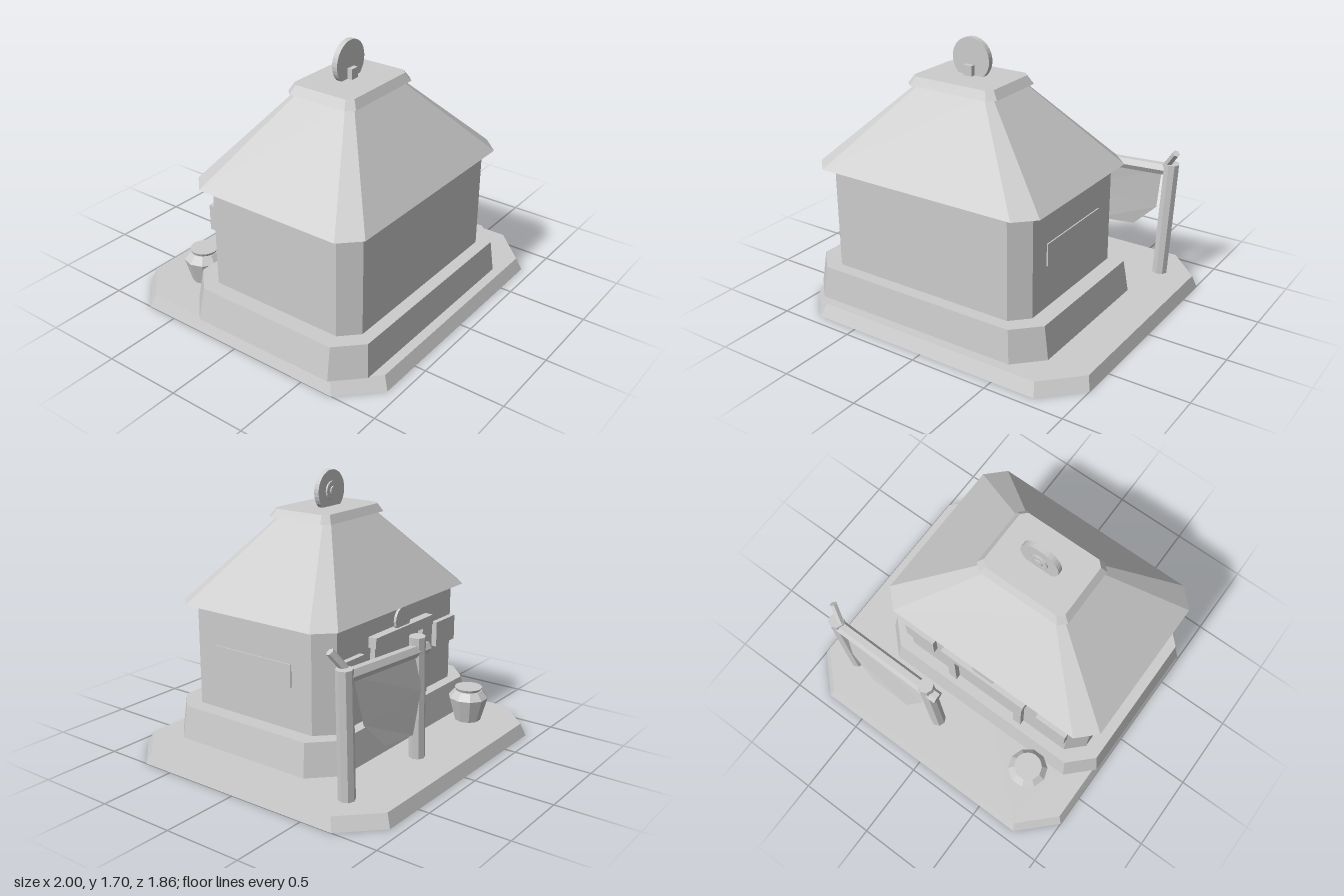
import * as THREE from 'three';

export function createModel() {
  const model = new THREE.Group();
  model.name = 'hut';
  const grey = new THREE.MeshStandardMaterial({ color: 0xcccccc, flatShading: true, side: THREE.DoubleSide });
  grey.name = 'plain grey';

  const add = (name, geometry, x = 0, y = 0, z = 0) => {
    const mesh = new THREE.Mesh(geometry, grey);
    mesh.name = name;
    mesh.position.set(x, y, z);
    model.add(mesh);
    return mesh;
  };

  // Rectangle with cut corners, as points at one height
  const ring = ([y, x0, x1, z0, z1, c]) => [
    [x0 + c, y, z0], [x1 - c, y, z0], [x1, y, z0 + c], [x1, y, z1 - c],
    [x1 - c, y, z1], [x0 + c, y, z1], [x0, y, z1 - c], [x0, y, z0 + c],
  ];

  // Sloped sides and a top between two rings; the underside is optional
  const block = (name, low, high, underside) => {
    const a = ring(low), b = ring(high), points = [];
    for (let i = 0; i < 8; i++) {
      const j = (i + 1) % 8;
      points.push(a[i], b[i], a[j], a[j], b[i], b[j]);
      if (i > 0 && i < 7) {
        points.push(b[0], b[j], b[i]);
        if (underside) points.push(a[0], a[i], a[j]);
      }
    }
    const geometry = new THREE.BufferGeometry();
    geometry.setAttribute('position', new THREE.Float32BufferAttribute(points.flat(), 3));
    geometry.computeVertexNormals();
    return add(name, geometry);
  };

  // Box given by its limits
  const box = (name, x0, x1, y0, y1, z0, z1) =>
    add(name, new THREE.BoxGeometry(x1 - x0, y1 - y0, z1 - z0), (x0 + x1) / 2, (y0 + y1) / 2, (z0 + z1) / 2);

  // Round plate whose axis runs along z
  const disc = (name, x, y, z0, z1, r, sides) =>
    add(name, new THREE.CylinderGeometry(r, r, z1 - z0, sides).rotateX(Math.PI / 2), x, y, (z0 + z1) / 2);

  // Straight pole between two points
  const pole = (name, from, to, r, sides) => {
    const a = new THREE.Vector3(...from), b = new THREE.Vector3(...to);
    const dir = b.clone().sub(a);
    const mesh = add(name, new THREE.CylinderGeometry(r, r, dir.length(), sides));
    mesh.position.copy(a).add(b).multiplyScalar(0.5);
    mesh.quaternion.setFromUnitVectors(new THREE.Vector3(0, 1, 0), dir.normalize());
  };

  // Hollow ground slab, plinth, walls and roof
  block('groundSlab', [0, -1, 1, -0.93, 0.93, 0.222], [0.08, -0.97, 0.975, -0.9, 0.895, 0.216], false);
  block('plinth', [0.08, -0.99, 0.712, -0.447, 0.835, 0.16], [0.285, -0.955, 0.682, -0.418, 0.815, 0.148], false);
  block('walls', [0.28, -0.855, 0.58, -0.348, 0.738, 0.103], [0.926, -0.855, 0.58, -0.348, 0.738, 0.103], false);
  block('roof', [0.925, -0.925, 0.648, -0.4, 0.79, 0.115], [1.43, -0.405, 0.125, -0.01, 0.39, 0.035], true);
  block('roofCap', [1.425, -0.455, 0.178, -0.043, 0.432, 0.045], [1.477, -0.42, 0.142, -0.015, 0.403, 0.035], true);

  // Roof emblem: disc with a raised back boss and a front foot
  disc('roofDisc', -0.138, 1.573, 0.16, 0.195, 0.13, 32);
  disc('roofDiscRing', -0.138, 1.573, 0.149, 0.16, 0.06, 16);
  disc('roofDiscBoss', -0.138, 1.573, 0.14, 0.16, 0.03, 12);
  box('roofDiscFoot', -0.17, -0.112, 1.47, 1.54, 0.19, 0.226);

  // Side panel and doorway on the back wall
  box('sidePanel', 0.575, 0.588, 0.55, 0.69, -0.097, 0.49);
  box('lintel', -0.45, 0.172, 0.735, 0.8, -0.405, -0.34);
  for (const side of [-1, 1]) {
    const px = -0.139 + side * 0.26, wx = -0.139 + side * 0.505;
    box('doorPost', px - 0.03, px + 0.03, 0.28, 0.74, -0.383, -0.34);
    box('wallPlaque', wx - 0.11, wx + 0.11, 0.56, 0.722, -0.383, -0.34);
  }
  disc('doorKnocker', -0.139, 0.565, -0.358, -0.344, 0.052, 16);
  disc('lintelDisc', -0.139, 0.842, -0.387, -0.37, 0.08, 16);

  // Banner frame
  for (const x of [0.065, 0.765]) {
    pole('bannerPost', [x, 0.08, -0.635], [x + 0.035, 0.845, -0.642], 0.05, 8);
  }
  pole('bannerBeam', [0.01, 0.755, -0.645], [0.8, 0.8, -0.645], 0.04, 6);
  pole('beamTwig', [0.75, 0.8, -0.645], [0.85, 0.94, -0.585], 0.024, 6);

  // Hanging cloth, tilting backwards: left x, y, right x, y and depth of each row
  const rows = [
    [0.09, 0.745, 0.73, 0.775, -0.652],
    [0.125, 0.53, 0.69, 0.5, -0.69],
    [0.245, 0.3, 0.52, 0.33, -0.72],
  ];
  const cloth = new THREE.PlaneGeometry(1, 1, 1, rows.length - 1);
  rows.forEach(([x0, y0, x1, y1, z], r) => {
    cloth.attributes.position.setXYZ(r * 2, x0, y0, z);
    cloth.attributes.position.setXYZ(r * 2 + 1, x1, y1, z);
  });
  cloth.computeVertexNormals();
  add('bannerCloth', cloth);

  // Pot with a round lid
  const profile = [[0, 0.08], [0.085, 0.08], [0.128, 0.235], [0.09, 0.282], [0, 0.282]]
    .map(([r, y]) => new THREE.Vector2(r, y));
  add('pot', new THREE.LatheGeometry(profile, 10).rotateY(Math.PI / 2), -0.632, 0, -0.577);
  add('potLid', new THREE.CylinderGeometry(0.088, 0.08, 0.018, 20), -0.632, 0.291, -0.577);

  return model;
}
